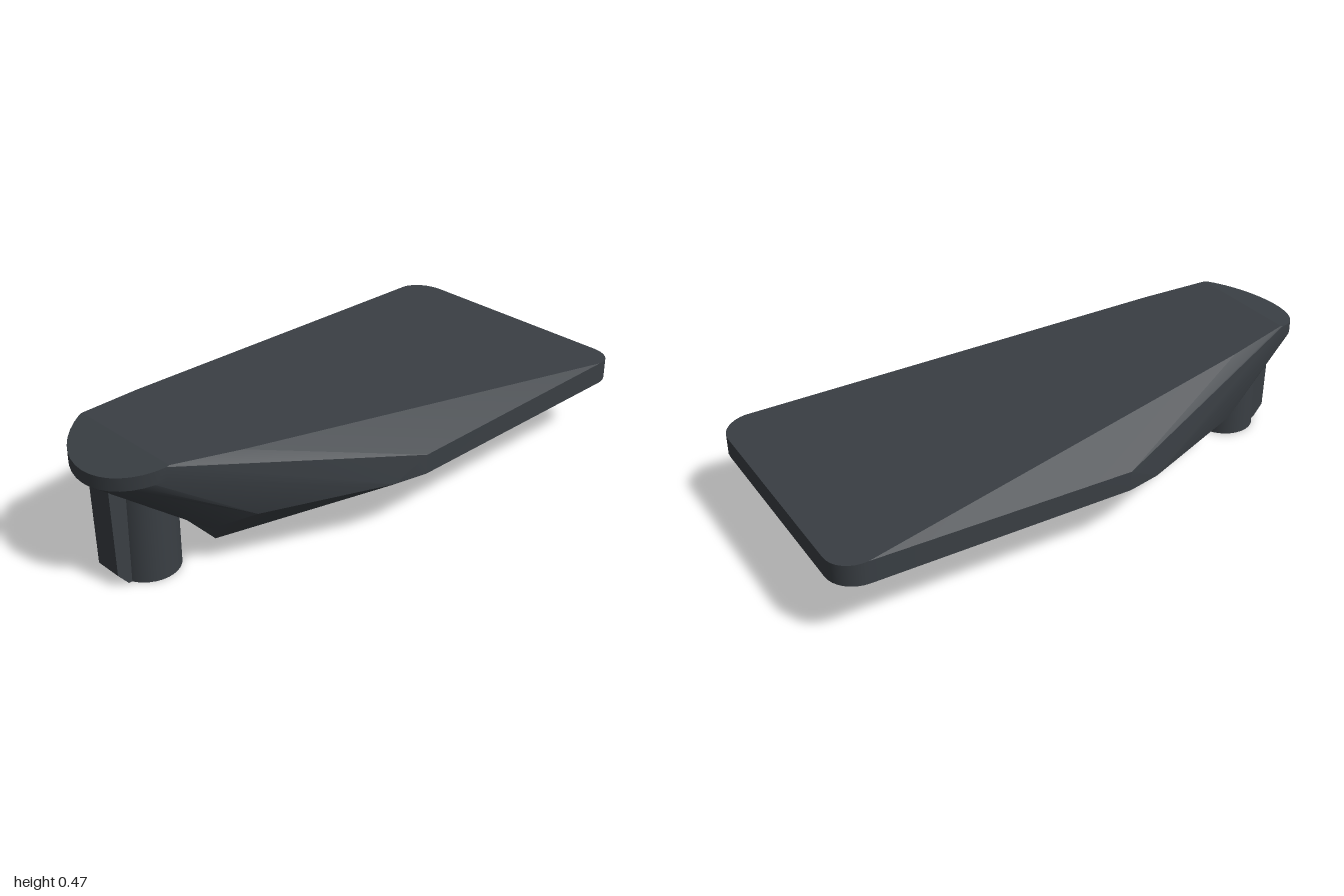
import * as THREE from 'three';
import { toCreasedNormals } from 'three/addons/utils/BufferGeometryUtils.js';
import { ConvexGeometry } from 'three/addons/geometries/ConvexGeometry.js';

const housingPaint = new THREE.MeshStandardMaterial({ color: 0x3a3f44 });
housingPaint.name = 'charcoal housing';
const lensGrey = new THREE.MeshStandardMaterial({ color: 0xb0b0b0 });
lensGrey.name = 'lens grey';

const V = (x, y, z) => new THREE.Vector3(x, y, z);
const mirrorZ = (points) => points.flatMap(([x, y, z]) => [V(x, y, z), V(x, y, -z)]);

// Heights of the sloping top and of the nose, by x
const topY = (x) => 0.475 - (x + 0.84) * 0.1005;
const noseY = (x) => 0.475 + (x + 0.84) * 0.28;

function add(group, name, geometry, material) {
  const mesh = new THREE.Mesh(geometry, material);
  mesh.name = name;
  group.add(mesh);
  return mesh;
}

function hull(points) {
  return toCreasedNormals(new ConvexGeometry(points), 0.3);
}

// Rounded nose outline, lowered by drop
function noseArc(drop) {
  const points = [];
  for (let i = 0; i <= 16; i++) {
    const a = -1.2 + (2.4 * i) / 16;
    const x = -0.765 - 0.235 * Math.cos(a);
    points.push(V(x, noseY(x) - drop, 0.235 * Math.sin(a)));
  }
  return points;
}

export function createModel() {
  const group = new THREE.Group();
  group.name = 'streetLampHead';

  // Rounded corners at the wide end
  const corners = [];
  for (let i = 0; i <= 8; i++) {
    const a = (Math.PI / 2) * (i / 8);
    const x = 0.9 + 0.1 * Math.cos(a);
    const z = 0.385 + 0.1 * Math.sin(a);
    corners.push([x, topY(x), z], [x, 0.22, z]);
  }

  // Main shell above the flat underside
  const shoulder = [
    [-0.84, 0.475, 0.219], [-0.6, topY(-0.6), 0.265],
    [-0.02, 0.29, 0.485], [-0.02, 0.22, 0.485],
    [-0.14, 0.22, 0.46], [-0.57, 0.22, 0.29],
  ];
  add(group, 'housing', hull([
    ...noseArc(0), ...noseArc(0.045), ...mirrorZ([...shoulder, ...corners]),
  ]), housingPaint);

  // Curved chin under the nose
  add(group, 'chin', hull([
    ...noseArc(0.045),
    ...mirrorZ([[-0.66, 0.15, 0.17], [-0.57, 0.22, 0.29]]),
  ]), housingPaint);

  // Wedge dropping below the underside
  add(group, 'lowerWedge', hull(mirrorZ([
    [-0.66, 0.15, 0.17], [-0.63, 0.09, 0.15],
    [-0.57, 0.22, 0.29], [-0.14, 0.22, 0.46],
  ])), housingPaint);

  // Light panel
  const lens = add(group, 'lightPanel', new THREE.BoxGeometry(0.94, 0.008, 0.67), lensGrey);
  lens.position.set(0.45, 0.219, 0);

  // Pole socket
  const socket = add(group, 'poleSocket', new THREE.CylinderGeometry(0.108, 0.11, 0.36, 32), housingPaint);
  socket.position.set(-0.79, 0.18, 0);

  // Rib on the outer side of the socket, chamfered at the bottom
  add(group, 'socketRib', hull(mirrorZ([
    [-0.85, 0, 0.05], [-0.9, 0, 0.05], [-0.938, 0.045, 0.05],
    [-0.947, 0.37, 0.05], [-0.85, 0.37, 0.05],
  ])), housingPaint);

  return group;
}
